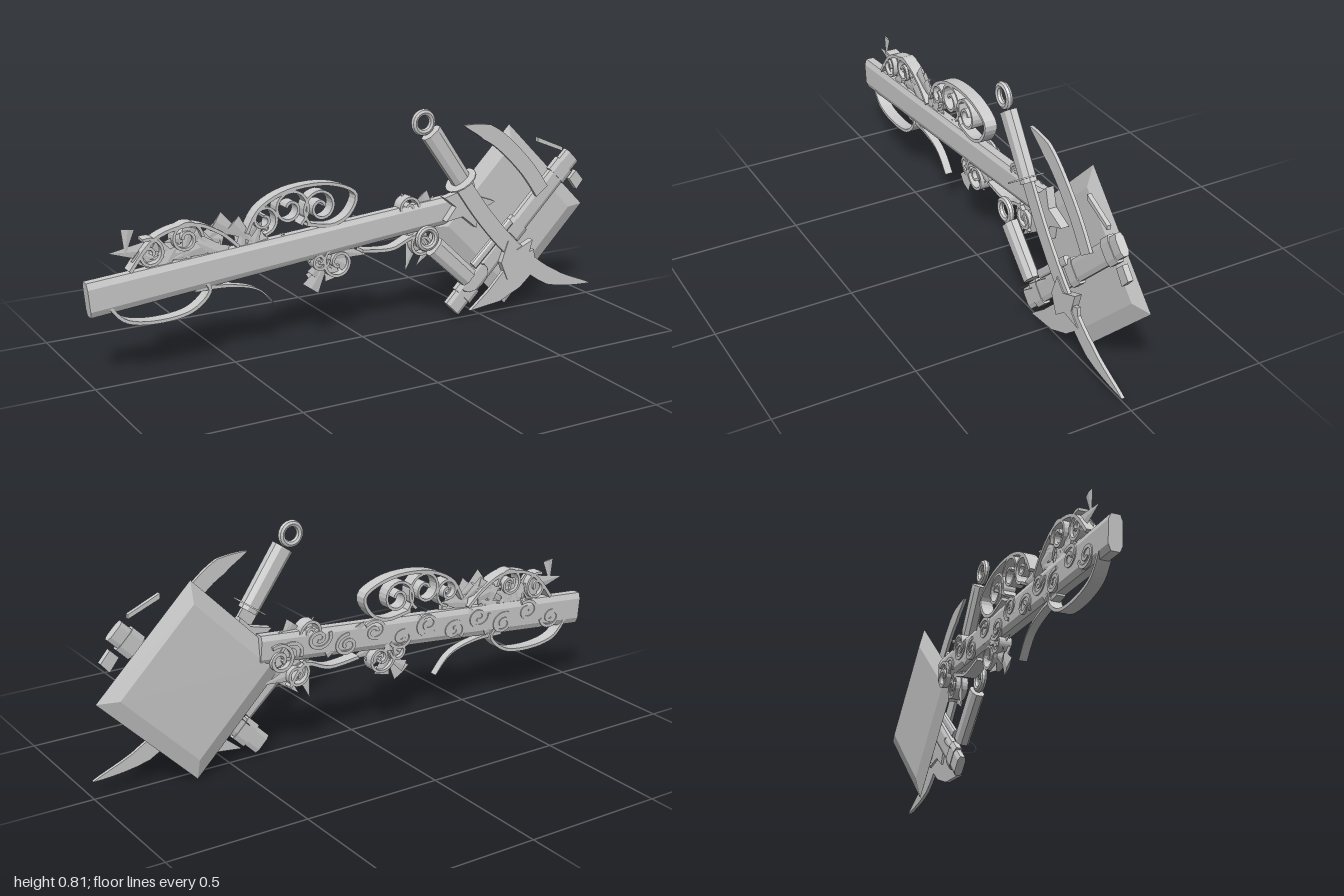
import * as THREE from 'three';

const mat = new THREE.MeshStandardMaterial({ color: 0xcccccc, flatShading: true, side: THREE.DoubleSide });
const V = (x, y) => new THREE.Vector2(x, y);

export function createModel() {
  const root = new THREE.Group();
  const add = (name, geo, parent = root) => {
    const m = new THREE.Mesh(geo, mat);
    m.name = name;
    parent.add(m);
    return m;
  };
  // flat outline with thickness, z0 is its back
  const plate = (name, pts, z0, depth, bevel = 0) => {
    const geo = new THREE.ExtrudeGeometry(new THREE.Shape(pts.map(p => V(p[0], p[1]))), {
      depth: depth - 2 * bevel, bevelEnabled: bevel > 0, bevelThickness: bevel,
      bevelSize: bevel, bevelOffset: -bevel, bevelSegments: 1
    });
    geo.translate(0, 0, z0 + bevel);
    return add(name, geo);
  };
  // strip that follows a curve; half-width w(t)
  const strip = (name, pts, w, z0, depth, n = 20) => {
    const c = new THREE.SplineCurve(pts.map(p => V(p[0], p[1])));
    const a = [], b = [];
    for (let i = 0; i <= n; i++) {
      const t = i / n, p = c.getPoint(t), d = c.getTangent(t), h = w(t);
      a.push([p.x - d.y * h, p.y + d.x * h]);
      b.unshift([p.x + d.y * h, p.y - d.x * h]);
    }
    return plate(name, [...a, ...b], z0, depth);
  };
  // chamfered beam between two points in the xy plane
  const beam = (name, p, q, w, w2, z, depth, c = 0.3) => {
    const prof = [[-0.5, -c], [-c, -0.5], [c, -0.5], [0.5, -c], [0.5, c], [c, 0.5], [-c, 0.5], [-0.5, c]];
    const len = Math.hypot(q[0] - p[0], q[1] - p[1]);
    const geo = new THREE.ExtrudeGeometry(new THREE.Shape(prof.map(k => V(k[0], k[1]))), { depth: len, bevelEnabled: false });
    const pos = geo.attributes.position;
    for (let i = 0; i < pos.count; i++) {
      const t = pos.getZ(i) / len;
      pos.setXYZ(i, pos.getZ(i), pos.getX(i) * (w + (w2 - w) * t), pos.getY(i) * depth);
    }
    geo.computeVertexNormals();
    const m = add(name, geo);
    m.position.set(p[0], p[1], z);
    m.rotation.z = Math.atan2(q[1] - p[1], q[0] - p[0]);
    return m;
  };

  // diamond board: double pyramid-edged slab
  const R = 0.348, r = 0.272;
  const board = new THREE.LatheGeometry([V(0, -0.02), V(r, -0.02), V(R, 0), V(r, 0.02), V(0, 0.02)], 4);
  board.rotateX(Math.PI / 2);
  add('diamondBoard', board).position.set(0.65, 0.352, -0.052);

  // post
  beam('post', [-0.995, 0.295], [0.41, 0.415], 0.12, 0.1, -0.054, 0.048, 0.32);

  // swords: ring pommel, grip, collar, round guard
  const hilt = (ring, from, to, guard, open) => {
    const ang = Math.atan2(to[1] - from[1], to[0] - from[0]);
    add('pommelRing', new THREE.TorusGeometry(0.036, 0.0125, 8, 20)).position.set(ring[0], ring[1], 0.026);
    beam('grip', from, to, 0.076, 0.07, 0.026, 0.048, 0.25);
    const g = add('guard', open ? new THREE.TorusGeometry(0.062, 0.0015, 4, 14)
      : new THREE.CylinderGeometry(0.062, 0.062, 0.005, 14));
    if (open) g.geometry.rotateX(Math.PI / 2);
    g.position.set(guard[0], guard[1], 0.03);
    g.rotation.z = ang - Math.PI / 2;
  };
  hilt([0.228, 0.765], [0.26, 0.725], [0.4, 0.525], [0.387, 0.537], false);
  hilt([0.25, 0.34], [0.28, 0.305], [0.43, 0.165], [0.455, 0.16], true);

  // curved blades
  const taper = h => t => h * (t < 0.75 ? 1 : Math.max(0.02, (1 - t) / 0.25));
  strip('blade', [[0.39, 0.53], [0.5, 0.38], [0.64, 0.23], [0.8, 0.11], [0.99, 0.055]], taper(0.032), 0.02, 0.012);
  strip('crossBlade', [[0.75, 0.45], [0.68, 0.545], [0.58, 0.645], [0.5, 0.7], [0.4, 0.735]], taper(0.03), 0.018, 0.012);
  plate('lowerBlade', [[0.44, 0.035], [0.52, 0.1], [0.62, 0.2], [0.72, 0.23], [0.73, 0.15], [0.66, 0.09], [0.57, 0.05]], 0.018, 0.014);
  plate('starMount', [[0.34, 0.47], [0.42, 0.49], [0.46, 0.53], [0.48, 0.46], [0.56, 0.43], [0.49, 0.4], [0.48, 0.34], [0.42, 0.39], [0.35, 0.38], [0.39, 0.43]], -0.03, 0.03);
  plate('bladeHub', [[0.57, 0.2], [0.6, 0.28], [0.64, 0.24], [0.71, 0.27], [0.69, 0.2], [0.73, 0.16], [0.65, 0.17], [0.6, 0.13]], 0.01, 0.026);

  // long sheath across the board, with two collars
  beam('sheath', [0.375, 0.045], [0.9, 0.565], 0.075, 0.075, 0, 0.03, 0.3);
  for (const t of [0.12, 0.52, 0.9]) {
    const x = 0.375 + 0.525 * t, y = 0.045 + 0.52 * t;
    beam('sheathCollar', [x - 0.02, y - 0.02], [x + 0.02, y + 0.02], 0.09, 0.09, 0, 0.034);
  }
  // side rail and loose splinters
  beam('sheathRail', [0.46, 0.2], [0.62, 0.35], 0.03, 0.03, 0.012, 0.02);
  plate('splinter', [[0.73, 0.655], [0.845, 0.605], [0.845, 0.59], [0.73, 0.637]], 0.005, 0.015);
  plate('splinter', [[0.89, 0.475], [0.92, 0.505], [0.955, 0.465], [0.925, 0.43]], -0.01, 0.02);

  // vine ribbons: broad in z, thin in the front view
  const ribbon = (pts, n = 28, h = 0.006) => strip('vineRibbon', pts, () => h, -0.078, 0.046, n);
  const spiral = (x, y, rad, a0, turns, squash = 1) => {
    const pts = [];
    for (let i = 0; i <= 18; i++) {
      const t = i / 18, a = a0 + t * turns * Math.PI * 2, k = rad * (1 - 0.8 * t);
      pts.push([x + Math.cos(a) * k, y + Math.sin(a) * k * squash]);
    }
    return pts;
  };
  ribbon([[-0.43, 0.44], [-0.38, 0.52], [-0.27, 0.57], [-0.12, 0.575], [-0.01, 0.53], [-0.03, 0.46], [-0.1, 0.425], [-0.2, 0.44]], 32);
  for (const [x, y, k, a, t] of [[-0.265, 0.505, 0.075, -1, 1.6], [-0.145, 0.495, 0.07, 4, -1.6], [-0.365, 0.48, 0.055, -1.5, 1.5],
    [-0.65, 0.455, 0.06, 0, 1.5], [-0.78, 0.42, 0.055, 2, -1.4], [-0.075, 0.285, 0.07, 1, 1.6],
    [0.21, 0.44, 0.045, 0, 1.4], [0.27, 0.3, 0.05, 2, 1.4], [-0.15, 0.3, 0.035, 0, -1.3]]) ribbon(spiral(x, y, k, a, t), 34, 0.005);
  ribbon([[-0.93, 0.27], [-0.87, 0.205], [-0.76, 0.185], [-0.64, 0.2], [-0.57, 0.26], [-0.6, 0.31]]);
  strip('vineTendril', [[-0.62, 0.27], [-0.5, 0.265], [-0.39, 0.235], [-0.32, 0.165]], t => 0.007 * (1.1 - t), -0.07, 0.03);
  ribbon([[-0.85, 0.37], [-0.76, 0.47], [-0.63, 0.5], [-0.53, 0.46], [-0.46, 0.4]]);
  ribbon([[0.02, 0.31], [0.14, 0.3], [0.24, 0.33], [0.3, 0.26]]);

  // leaves: folded four-point blades scattered along the vine
  let seed = 7;
  const rnd = () => (seed = (seed * 16807) % 2147483647) / 2147483647;
  const leafGeo = new THREE.ConeGeometry(0.32, 1, 4).rotateZ(-Math.PI / 2).scale(1, 1, 0.35);
  const leaf = (x, y, z, s, a) => {
    const m = add('leaf', leafGeo);
    m.position.set(x, y, z);
    m.scale.set(s, s * 0.8, s * 0.3);
    m.rotation.z = a;
  };
  const clusters = [[-0.65, 0.42, 0.2, 0.05, 22], [-0.68, 0.38, 0.16, 0.03, 8], [-0.4, 0.41, 0.09, 0.03, 8],
    [-0.07, 0.28, 0.08, 0.035, 9], [0.22, 0.42, 0.1, 0.03, 6], [0.25, 0.3, 0.07, 0.04, 6]];
  for (const [x, y, dx, dy, n] of clusters) for (let i = 0; i < n; i++)
    leaf(x + (rnd() * 2 - 1) * dx, y + (rnd() * 2 - 1) * dy, -0.055 + (rnd() - 0.5) * 0.025, 0.08 + rnd() * 0.07, rnd() * 6.28);

  // relief vines on the back of the post
  for (let i = 0; i < 11; i++) {
    const x = -0.85 + i * 0.115, y = 0.295 + (x + 0.995) * 0.085 + (i % 2 ? 0.018 : -0.018);
    strip('backScroll', spiral(x, y, 0.05, i, i % 2 ? 1.4 : -1.4, 0.8), () => 0.006, -0.082, 0.01, 30);
    leaf(x + 0.05, y, -0.076, 0.08, rnd() * 6.28);
  }
  strip('backScroll', spiral(0.34, 0.37, 0.055, 1, 1.5), () => 0.006, -0.088, 0.02, 30);
  return root;
}
